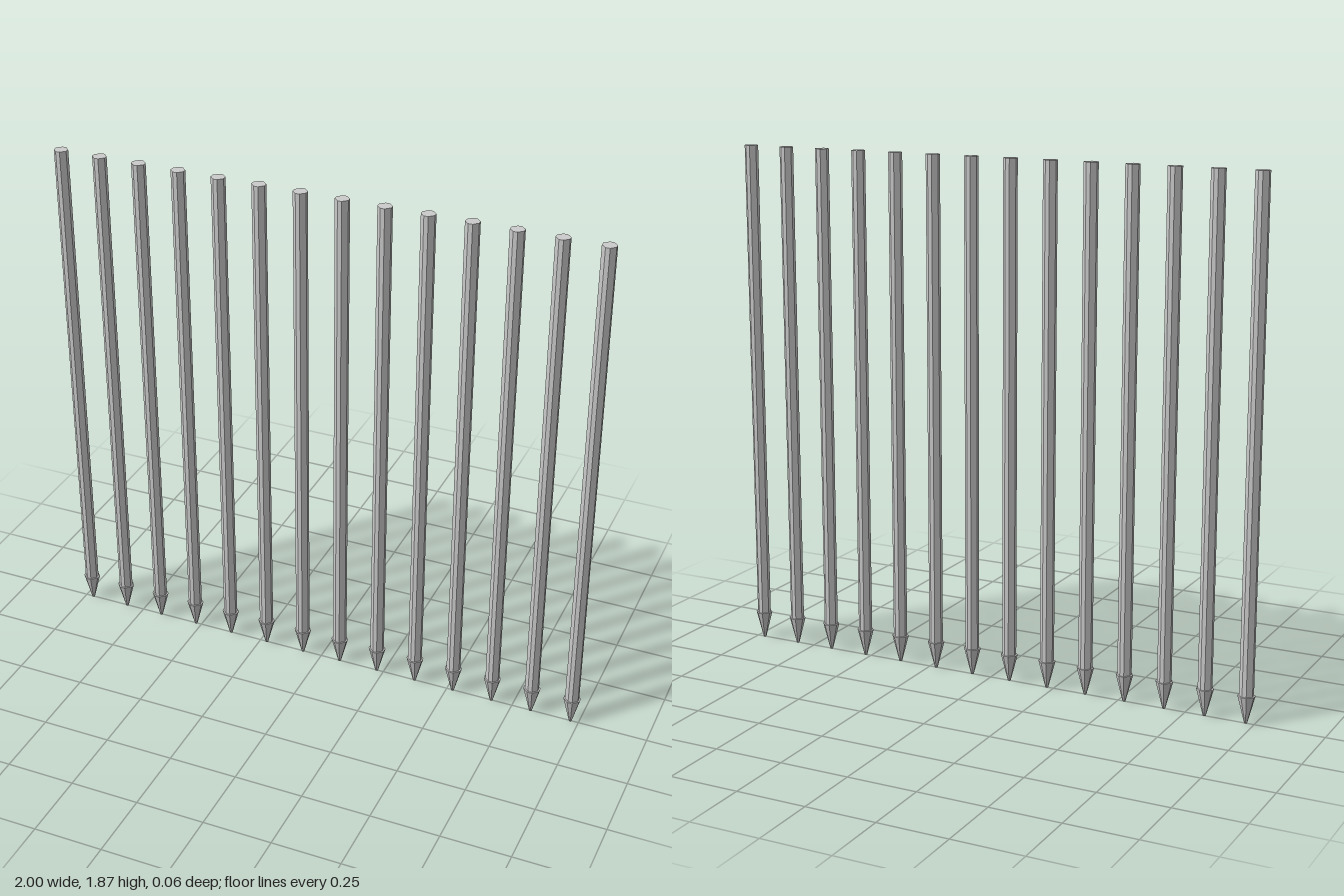
import * as THREE from 'three';

// Square bar set corner-on with blunted corners, swept from y0 to y1 with a size at each end
function bar(y0, y1, bottom, top) {
  const a = 0.024, b = 0.0075;
  const section = new THREE.Shape([
    [a, -b], [a, b], [b, a], [-b, a], [-a, b], [-a, -b], [-b, -a], [b, -a],
  ].map(([x, y]) => new THREE.Vector2(x, y)));
  const geo = new THREE.ExtrudeGeometry(section, { depth: y1 - y0, bevelEnabled: false });
  geo.rotateX(-Math.PI / 2).translate(0, y0, 0);
  const p = geo.attributes.position;
  for (let i = 0; i < p.count; i++) {
    const s = THREE.MathUtils.mapLinear(p.getY(i), y0, y1, bottom, top);
    p.setXYZ(i, p.getX(i) * s, p.getY(i), p.getZ(i) * s);
  }
  geo.computeVertexNormals();
  return geo;
}

export function createModel() {
  const model = new THREE.Group();
  model.name = 'spikeRow';
  const material = new THREE.MeshStandardMaterial({ color: 0xcccccc, flatShading: true });
  const shaftGeo = bar(0.1, 1.87, 1, 1);
  const headGeo = bar(0, 0.1, 0.2, 1.23);

  // Evenly spaced row of downward-pointing spikes
  const count = 14, reach = 0.97;
  for (let i = 0; i < count; i++) {
    const spike = new THREE.Group();
    spike.name = `spike${i + 1}`;
    const shaft = new THREE.Mesh(shaftGeo, material);
    shaft.name = 'shaft';
    const head = new THREE.Mesh(headGeo, material);
    head.name = 'pointedHead';
    spike.add(shaft, head);
    spike.position.x = -reach + (2 * reach * i) / (count - 1);
    model.add(spike);
  }
  return model;
}
